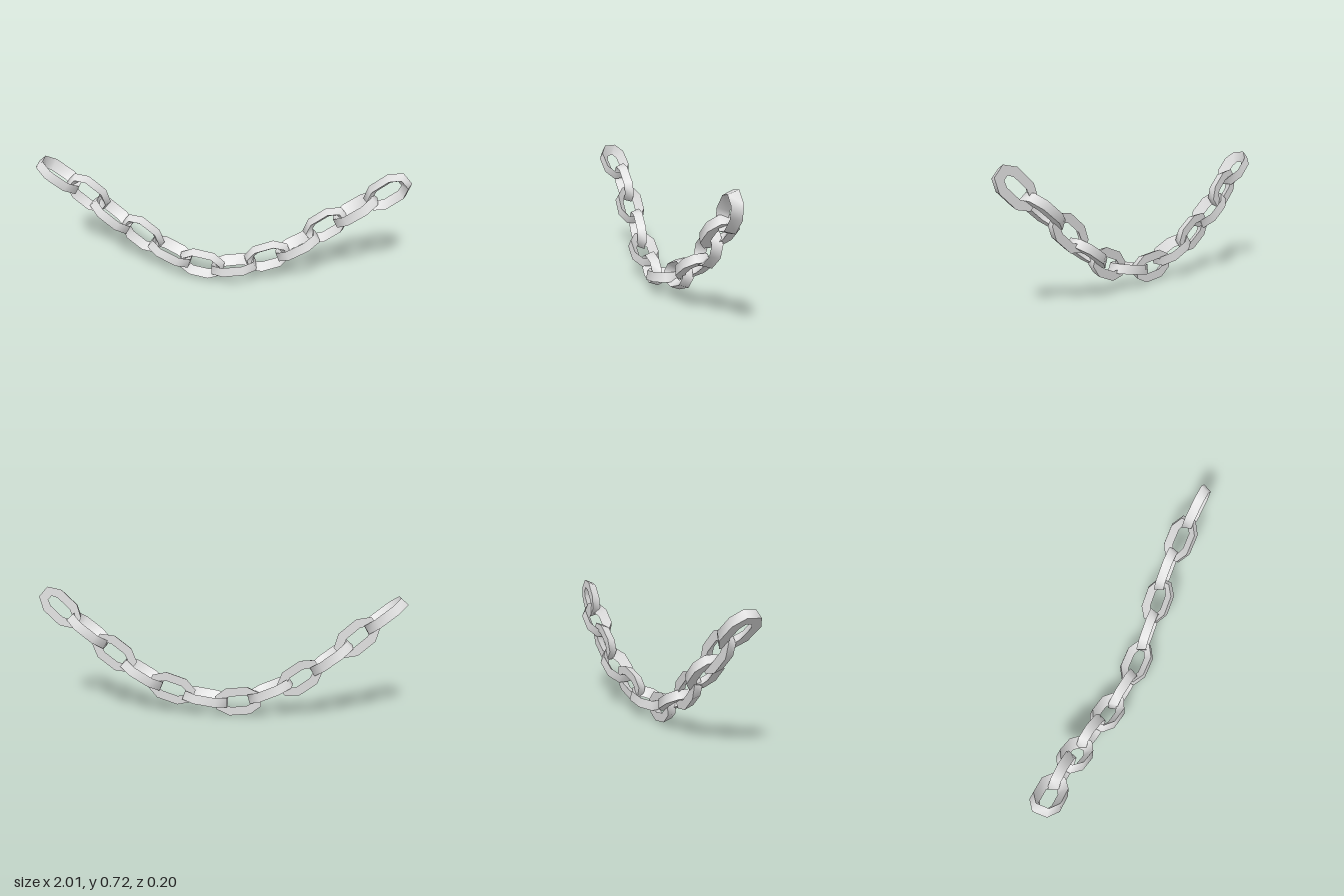
import * as THREE from 'three';
import { toCreasedNormals } from 'three/addons/utils/BufferGeometryUtils.js';

const DEPTH = 0.052;

// One octagonal link: a triangular section (flat base at -z, ridge at +z) swept round a loop.
// ridge = how far the ridge sits between the outer (0) and inner (1) edge of the base.
function linkGeometry(ridge) {
  const a = [0.128, 0.038];
  const b = [0.06, 0.08];
  const outer = [
    a, b, [-b[0], b[1]], [-a[0], a[1]],
    [-a[0], -a[1]], [-b[0], -b[1]], [b[0], -b[1]], [a[0], -a[1]],
  ];
  // inner corner of the base, matched to each outer corner
  const inner = ([x, y]) => (Math.abs(x) > 0.1
    ? [Math.sign(x) * 0.078, Math.sign(y) * 0.015]
    : [Math.sign(x) * 0.045, Math.sign(y) * 0.031]);

  const pos = [];
  const index = [];
  const n = outer.length;
  outer.forEach((o, i) => {
    const p = inner(o);
    pos.push(o[0], o[1], -DEPTH / 2);
    pos.push(o[0] + (p[0] - o[0]) * ridge, o[1] + (p[1] - o[1]) * ridge, DEPTH / 2);
    pos.push(p[0], p[1], -DEPTH / 2);
    const j = (i + 1) % n;
    for (let k = 0; k < 3; k++) {
      const m = (k + 1) % 3;
      const A = i * 3 + k, B = j * 3 + k, C = j * 3 + m, D = i * 3 + m;
      index.push(A, B, C, A, C, D);
    }
  });
  const g = new THREE.BufferGeometry();
  g.setAttribute('position', new THREE.Float32BufferAttribute(pos, 3));
  g.setIndex(index);
  return toCreasedNormals(g, 1.2);
}

// Centre x, y, z, slope in degrees, sideways drift (dz per dx)
const LINKS = [
  [-0.885, 0.608, -0.005, -39, -0.1],
  [-0.742, 0.487, -0.018, -42, -0.05],
  [-0.61, 0.37, -0.02, -39, 0.08],
  [-0.447, 0.25, -0.012, -38, 0.09],
  [-0.28, 0.165, 0.003, -25, 0.09],
  [-0.108, 0.092, 0.018, -8, 0.08],
  [0.077, 0.105, 0.013, 9, -0.03],
  [0.267, 0.16, 0.003, 20, -0.08],
  [0.426, 0.243, -0.018, 32, -0.04],
  [0.577, 0.365, -0.03, 38, -0.02],
  [0.723, 0.487, -0.021, 38, 0.03],
  [0.882, 0.606, 0.003, 42, 0.12],
];

export function createModel() {
  const chain = new THREE.Group();
  chain.name = 'chain';
  const steel = new THREE.MeshStandardMaterial({ color: 0xdedede });
  steel.name = 'light steel';
  const flatGeometry = linkGeometry(0.18);
  const uprightGeometry = linkGeometry(0.36);

  LINKS.forEach(([x, y, z, deg, drift], i) => {
    const flat = i % 2 === 0; // alternate links lie flat, ridge upward
    const link = new THREE.Mesh(flat ? flatGeometry : uprightGeometry, steel);
    const angle = THREE.MathUtils.degToRad(deg);
    link.name = (flat ? 'flatLink' : 'uprightLink') + (i + 1);
    link.position.set(x, y, z);
    link.rotation.set(flat ? -Math.PI / 2 : 0, -Math.atan(drift * Math.cos(angle)), angle, 'ZYX');
    chain.add(link);
  });
  return chain;
}
